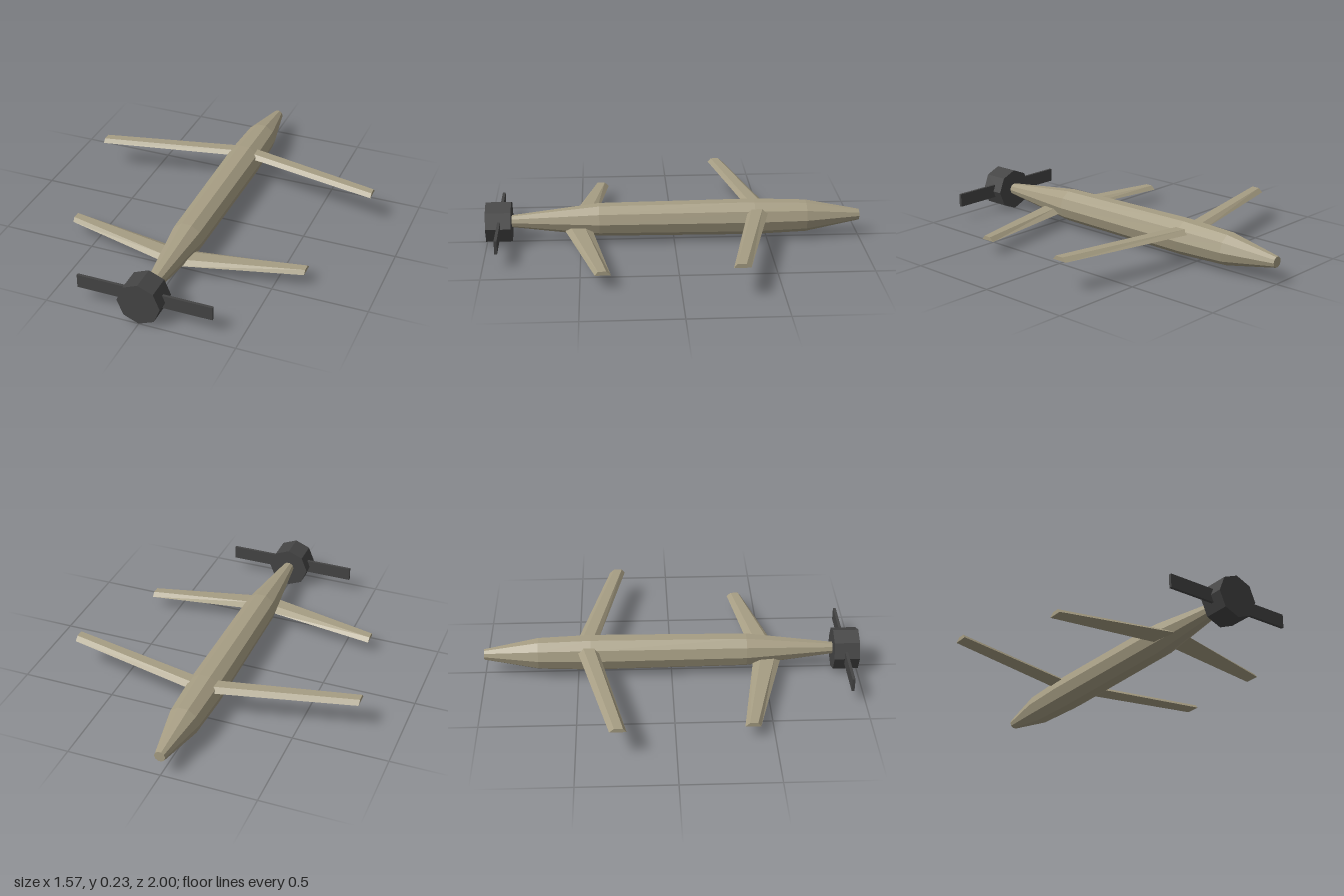
import * as THREE from 'three';

const AXIS_Y = 0.118;

export function createModel() {
  const group = new THREE.Group();
  const tan = new THREE.MeshStandardMaterial({ color: 0xa69d83, flatShading: true });
  const dark = new THREE.MeshStandardMaterial({ color: 0x444444, flatShading: true });

  const add = (name, geometry, material) => {
    const mesh = new THREE.Mesh(geometry, material);
    mesh.name = name;
    group.add(mesh);
    return mesh;
  };

  // Ten-sided tapered fuselage: [radius, z] from tail to nose
  const profile = [
    [0, -1], [0.029, -1], [0.085, -0.71], [0.096, -0.43],
    [0.088, 0.4], [0.032, 0.865], [0, 0.865],
  ].map(([r, z]) => new THREE.Vector2(r, z));
  const body = new THREE.LatheGeometry(profile, 10, Math.PI / 2);
  body.rotateX(Math.PI / 2);
  add('fuselage', body, tan).position.y = AXIS_Y;

  // Tapered, swept panel with a flat underside and bevelled long edges.
  // root and tip are [x, zBack, zFront]
  const wing = (side, root, tip, yBottom, yTop) => {
    const g = new THREE.BoxGeometry(1, 1, 1);
    const p = g.attributes.position;
    for (let i = 0; i < p.count; i++) {
      const t = 0.5 + side * p.getX(i);
      const top = p.getY(i) > 0;
      const front = p.getZ(i) > 0;
      const [x, back, fore] = root.map((v, k) => THREE.MathUtils.lerp(v, tip[k], t));
      const u = front ? (top ? 0.8 : 1) : (top ? 0.28 : 0);
      p.setXYZ(i, side * x, top ? yTop : yBottom, THREE.MathUtils.lerp(back, fore, u));
    }
    g.computeVertexNormals();
    return g;
  };

  for (const [side, label] of [[1, 'left'], [-1, 'right']]) {
    add(label + 'RearWing',
      wing(side, [0.045, -0.504, -0.393], [0.785, -0.33, -0.245], 0.162, 0.183), tan);
    add(label + 'FrontWing',
      wing(side, [0.045, 0.437, 0.582], [0.642, 0.345, 0.425], 0.074, 0.095), tan);
  }

  // Octagonal propeller hub
  const hub = new THREE.CylinderGeometry(0.113, 0.113, 0.135, 8);
  hub.rotateX(Math.PI / 2);
  add('propellerHub', hub, dark).position.set(0, 0.115, 0.9325);

  // Two flat blades running through the hub
  add('propellerBlades', new THREE.BoxGeometry(0.714, 0.072, 0.015), dark)
    .position.set(0, 0.115, 0.928);

  return group;
}
